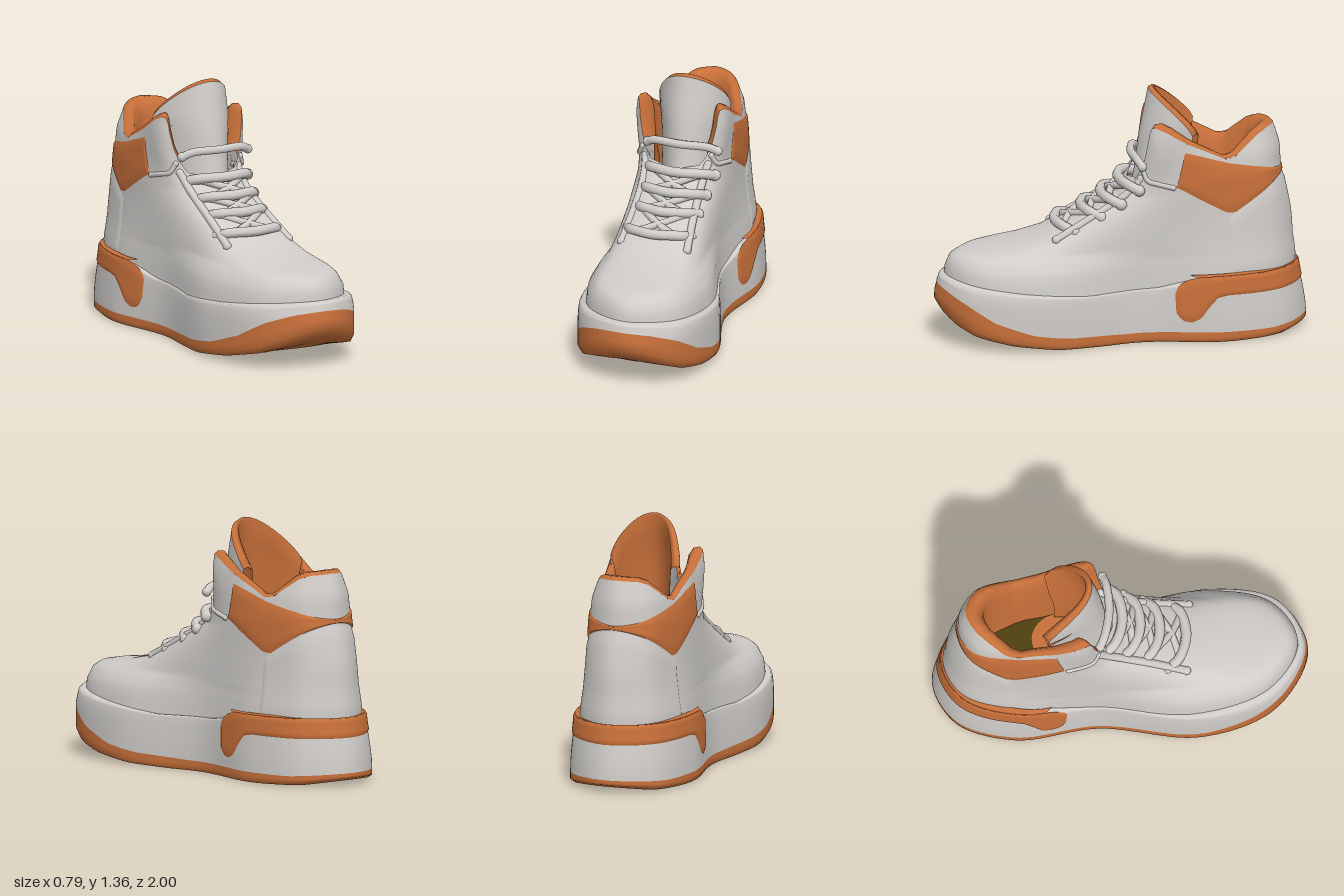
import * as THREE from 'three';

const mat = (name, color, side = THREE.DoubleSide) => {
  const m = new THREE.MeshStandardMaterial({ color, side });
  m.name = name;
  return m;
};

// Piecewise linear lookup in a list of [key, ...values] with ascending keys
function lookup(table, key) {
  let i = 0;
  while (i < table.length - 2 && key > table[i + 1][0]) i++;
  const a = table[i], b = table[i + 1];
  const f = THREE.MathUtils.clamp((key - a[0]) / (b[0] - a[0]), 0, 1);
  return a.slice(1).map((v, j) => v + (b[j + 1] - v) * f);
}
const lin = (table, key) => lookup(table, key)[0];

// Surface from a grid of points; point(i, j) gives [x, y, z], rows i, columns j
function grid(rows, cols, closed, point) {
  const pos = [], idx = [], n = closed ? cols : cols + 1;
  for (let i = 0; i <= rows; i++) for (let j = 0; j < n; j++) pos.push(...point(i, j));
  for (let i = 0; i < rows; i++) for (let j = 0; j < cols; j++) {
    const k = (j + 1) % n, a = i * n + j, b = i * n + k, c = a + n, d = b + n;
    idx.push(a, c, b, b, c, d);
  }
  const g = new THREE.BufferGeometry();
  g.setAttribute('position', new THREE.Float32BufferAttribute(pos, 3));
  g.setIndex(idx);
  g.computeVertexNormals();
  return g;
}

// Foot outline: twelve control points, from the heel (0) round +x to the toe (6)
const centre = z => lin([[-1, -0.075], [-0.55, -0.06], [-0.1, -0.036], [0.45, 0.018], [1, 0.07]], z);
function outline([zB, zH, wH, zM, wM, zFo, wFo, zF]) {
  const half = [
    [0, zB], [0.7 * wH, zB + 0.28 * (zH - zB)], [wH, zH], [wM, zM],
    [wFo, zFo], [0.72 * wFo, zF - 0.28 * (zF - zFo)], [0, zF],
  ];
  const pts = half.concat(half.slice(1, 6).reverse().map(([x, z]) => [-x, z]));
  return new THREE.CatmullRomCurve3(
    pts.map(([x, z]) => new THREE.Vector3(centre(z) + x, 0, z)), true);
}
const at = (curve, k) => curve.getPoint((((k / 12) % 1) + 1) % 1);

// Upper cross-sections: y, heel z, heel side z/w, waist z/w, forefoot z/w, toe z
const UPPER = [
  [0.26, -0.95, -0.57, 0.285, -0.10, 0.260, 0.42, 0.345, 0.95],
  [0.40, -0.935, -0.57, 0.270, -0.10, 0.255, 0.43, 0.325, 0.945],
  [0.46, -0.93, -0.57, 0.260, -0.12, 0.250, 0.44, 0.288, 0.92],
  [0.485, -0.925, -0.57, 0.257, -0.12, 0.250, 0.43, 0.265, 0.88],
  [0.50, -0.92, -0.57, 0.255, -0.13, 0.250, 0.41, 0.252, 0.80],
  [0.52, -0.92, -0.57, 0.252, -0.13, 0.250, 0.37, 0.242, 0.64],
  [0.56, -0.92, -0.57, 0.248, -0.15, 0.250, 0.29, 0.230, 0.46],
  [0.66, -0.91, -0.57, 0.240, -0.20, 0.250, 0.14, 0.210, 0.26],
  [0.78, -0.885, -0.57, 0.236, -0.25, 0.250, -0.05, 0.200, 0.04],
  [0.87, -0.865, -0.57, 0.235, -0.30, 0.252, -0.13, 0.215, -0.06],
  [1.00, -0.86, -0.57, 0.218, -0.33, 0.252, -0.17, 0.245, -0.08],
  [1.10, -0.83, -0.57, 0.180, -0.33, 0.248, -0.17, 0.250, -0.09],
  [1.22, -0.78, -0.57, 0.155, -0.33, 0.230, -0.17, 0.235, -0.10],
];
const curves = new Map();
function upperAt(k, y) {
  const key = y.toFixed(4);
  if (!curves.has(key)) curves.set(key, outline(lookup(UPPER, y)));
  return at(curves.get(key), k);
}

// Collar edge height by position round the outline
const COLLAR = [[0, 1.122], [0.8, 1.115], [1.2, 1.095], [1.6, 1.04], [1.85, 0.995], [2.1, 0.985], [2.4, 1.02],
  [3, 1.09], [3.6, 1.155], [4, 1.18], [4.25, 1.175], [4.45, 1.14], [4.6, 1.07], [4.85, 0.95], [5.15, 0.88], [6, 0.85]];
const collarY = k => lin(COLLAR, Math.min(Math.abs(k), 12 - Math.abs(k)));

// Sole outline and heights along z
const SOLE = outline([-1, -0.55, 0.335, -0.1, 0.28, 0.45, 0.375, 1]);
const BOTTOM = [[-1, 0.035], [-0.85, 0.008], [-0.6, 0], [0.1, 0], [0.35, 0.01], [0.6, 0.04],
  [0.8, 0.085], [0.9, 0.13], [1, 0.2]];
const TREAD = [[-1, 0.07], [-0.8, 0.055], [0, 0.055], [0.3, 0.07], [0.5, 0.1], [0.7, 0.17],
  [0.85, 0.26], [0.95, 0.305], [1, 0.32]];
const TOP = [[-1, 0.345], [-0.45, 0.335], [-0.2, 0.295], [0.2, 0.285], [0.6, 0.32], [1, 0.37]];
function soleAt(k, y) {
  const p = at(SOLE, k);
  const front = THREE.MathUtils.smoothstep(p.z, -0.2, 0.8);
  const lean = THREE.MathUtils.smoothstep(y, 0.06 + 0.19 * front, 0.42);
  return p.multiplyScalar(1 - (0.05 - 0.015 * front) * lean);
}

// Raised panel following a surface between two height curves
function panel(surface, k0, k1, lo, hi, lift, rows = 8, cols = 72) {
  return grid(rows, cols, false, (i, j) => {
    const k = k0 + (k1 - k0) * j / cols, v = i / rows;
    let y = 0.6, p;
    for (let n = 0; n < 3; n++) {
      p = surface(k, y);
      y = lin(lo, p.z) + (lin(hi, p.z) - lin(lo, p.z)) * v;
    }
    p = surface(k, y);
    const d = surface(k + 0.02, y).sub(surface(k - 0.02, y)).normalize();
    const edge = i === 0 || i === rows || j === 0 || j === cols;
    const off = edge ? -0.001 : lift;
    return [p.x + d.z * off, y, p.z - d.x * off];
  });
}

export function createModel() {
  const shoe = new THREE.Group();
  shoe.name = 'highTopShoe';
  const grey = mat('light grey leather', 0xcfccc9);
  const orange = mat('burnt orange', 0xc8703a);
  const olive = mat('dark olive insole', 0x4f4010);
  const add = (name, geo, material) => {
    const m = new THREE.Mesh(geo, material);
    m.name = name;
    shoe.add(m);
    return m;
  };
  const N = 144, kOf = j => j * 12 / N;

  // Outsole: rockered underside turning up into the side wall
  const spread = [0.01, 0.3, 0.6, 0.8, 0.92, 0.97];
  add('outsole', grid(8, N, true, (i, j) => {
    const p = at(SOLE, kOf(j)), b = lin(BOTTOM, p.z), t = lin(TREAD, p.z);
    if (i < 6) {
      p.multiplyScalar(spread[i]);
      return [p.x, lin(BOTTOM, p.z), p.z];
    }
    const y = b + (t - b) * [0.25, 0.6, 1][i - 6];
    const q = soleAt(kOf(j), y);
    return [q.x, y, q.z];
  }), orange);

  // Midsole wall with a rounded top ledge
  const ledge = [0.985, 0.94, 0.84];
  add('midsole', grid(8, N, true, (i, j) => {
    const k = kOf(j), p = at(SOLE, k), a = lin(TREAD, p.z), b = lin(TOP, p.z);
    const y = i < 6 ? a + (b - 0.012 - a) * i / 5 : b;
    const q = soleAt(k, y).multiplyScalar(i < 6 ? 1 : ledge[i - 6]);
    return [q.x, y, q.z];
  }), grey);

  // Heel band with a rounded drop at each end
  add('heelBand', panel(soleAt, -2.62, 2.62,
    [[-1, 0.255], [-0.56, 0.255], [-0.5, 0.245], [-0.45, 0.19], [-0.41, 0.13], [-0.36, 0.105], [-0.31, 0.115], [-0.27, 0.17]],
    [[-1, 0.365], [-0.42, 0.362], [-0.34, 0.345], [-0.29, 0.31], [-0.27, 0.28]], 0.007, 8, 110), orange);
  add('heelBandLedge', grid(1, 96, false, (i, j) => {
    const p = soleAt(-2.35 + 4.7 * j / 96, 0.36).multiplyScalar(i ? 0.92 : 1.003);
    return [p.x, i ? 0.368 : 0.36, p.z];
  }), orange);

  // Upper: toe box, quarters and ankle in one skin
  const low = [0.26, 0.34, 0.4, 0.43, 0.46, 0.473, 0.485, 0.493, 0.5, 0.51, 0.52, 0.54, 0.56, 0.61, 0.66, 0.72, 0.78];
  add('upper', grid(low.length + 9, N, true, (i, j) => {
    const k = kOf(j);
    const y = i < low.length ? low[i] : 0.78 + (collarY(k) - 0.78) * (i - low.length + 1) / 10;
    const p = upperAt(k, y);
    return [p.x, y, p.z];
  }), grey);

  // Padded collar edge and lining, narrowing towards the heel below, then the insole
  const roll = [[1, 0], [0.95, 0.018], [0.86, 0.016], [0.78, -0.02], [0.74, -0.08]];
  const inner = (k, s, depth) => {
    const p = upperAt(k, collarY(k));
    const z = -0.45 + (p.z + 0.45) * s;
    const narrow = 1 - depth * (1 - lin([[-0.72, 0.6], [-0.5, 0.85], [-0.25, 1]], z));
    return [-0.04 + (p.x + 0.04) * s * narrow, z];
  };
  add('collarLining', grid(8, 120, false, (i, j) => {
    const k = -4.9 + 9.8 * j / 120, [s, dy] = roll[Math.min(i, 4)];
    const depth = Math.max(0, i - 4) / 4;
    const [x, z] = inner(k, s, Math.sqrt(depth));
    const y = collarY(k) + dy;
    return [x, y + (0.55 - y) * depth, z];
  }), orange);
  add('insole', grid(3, N, true, (i, j) => {
    const [x, z] = inner(kOf(j), 0.75 - 0.245 * i, 1);
    return [x, 0.555, z];
  }), olive);
  const pad = add('insolePad', new THREE.CircleGeometry(1, 32).rotateX(-Math.PI / 2), orange);
  pad.scale.set(0.15, 1, 0.17);
  pad.position.set(-0.015, 0.56, -0.3);

  // Heel counter and the wrapping ankle panel
  add('heelCounter', panel(upperAt, -2.03, 2.03, [[-1, 0.33], [0, 0.33]],
    [[-0.88, 0.865], [-0.57, 0.67], [-0.5, 0.66]], 0.007, 10), grey);
  add('anklePanel', panel(upperAt, -3.05, 3.05,
    [[-0.87, 0.862], [-0.6, 0.685], [-0.55, 0.69], [-0.28, 0.845]],
    [[-0.87, 0.882], [-0.75, 0.925], [-0.57, 0.965], [-0.35, 1.035], [-0.28, 1.05]], 0.007, 8, 120), orange);

  // Tongue: curved sheet whose sides flare back into the lining
  const tonguePoint = (a, v, inset) => {
    const c = Math.cos(a);
    const top = 1.115 + 0.23 * Math.pow(Math.max(0, c), 0.8);
    const y = 0.58 + (top - 0.58) * v;
    const w = lin([[0.78, 0.15], [1, 0.166], [1.15, 0.188], [1.35, 0.18]], y) - inset + 0.02 * (1 - c) ** 2;
    const zf = lin([[0.78, -0.05], [0.9, -0.075], [1.1, -0.1], [1.35, -0.15]], y);
    return [-0.002 - 0.03 * (1 - c) ** 2 + w * Math.sin(a), y, zf - inset - 0.27 * (1 - c)];
  };
  const angle = j => Math.PI / 2 - Math.PI * j / 40;
  add('tongue', grid(12, 40, false, (i, j) => tonguePoint(angle(j), i / 12, 0)), grey);
  add('tongueLining', grid(9, 40, false, (i, j) => {
    const p = tonguePoint(angle(j), i < 2 ? 1 : 1 - (i - 2) / 7, [0, 0.018, 0.035][Math.min(i, 2)]);
    if (i === 1) p[1] += 0.012;
    return p;
  }), orange);

  // Padding that closes the gap between each tongue side and the collar
  for (const s of [-1, 1])
    add('collarFill', grid(1, 12, false, (i, j) => {
      const f = s > 0 ? j / 12 : 1 - j / 12;
      const p = tonguePoint(s * (Math.PI / 2 - 0.75 * f), 0, 0.01);
      const y = 1.06 + 0.04 * f;
      const q = tonguePoint(s * (Math.PI / 2 - 0.75 * f), (y - 0.58) / 0.535, 0.01);
      return i ? [q[0], y, q[2]] : [p[0] + s * 0.055, y + 0.01, q[2]];
    }), orange);

  // Laces
  const tube = (name, pts, r) => {
    const path = new THREE.CatmullRomCurve3(pts.map(p => new THREE.Vector3(...p)));
    add(name, new THREE.TubeGeometry(path, 28, r, 8), grey);
    for (const p of [pts[0], pts[pts.length - 1]])
      add(name + 'End', new THREE.SphereGeometry(r * 1.1, 10, 8).translate(...p), grey);
  };
  const rows = [[0.62, 0.34, 0.18], [0.695, 0.2, 0.17], [0.765, 0.095, 0.175], [0.845, 0.0, 0.19], [0.98, -0.07, 0.2]];
  rows.forEach(([y, z, w], n) => {
    const drop = n === 4 ? 0.03 : 0.085, r = n === 4 ? 0.023 : 0.028;
    tube('lace', [[-w, y - 0.015, z - drop], [-0.75 * w, y + 0.008, z - drop * 0.3], [0, y + 0.012, z + 0.012],
      [0.75 * w, y + 0.008, z - drop * 0.3], [w, y - 0.015, z - drop]], r);
    if (n < 3) {
      const [y2, z2] = rows[n + 1];
      for (const s of [-1, 1])
        tube('crossLace', [[-s * 0.12, y, z - 0.02], [0, (y + y2) / 2, (z + z2) / 2],
          [s * 0.12, y2, z2 - 0.02]], 0.02);
    }
  });

  // Eyestay edges, loose lace ends and the strap below each wing
  for (const s of [-1, 1]) {
    const ridge = [0.57, 0.62, 0.68, 0.75, 0.82, 0.88].map(y => {
      const p = upperAt(s * 4.75, y);
      return [p.x, y, p.z - 0.012];
    });
    tube('eyestayEdge', ridge, 0.022);
    tube('looseLace', [[s * 0.13, 0.61, 0.27], [s * 0.15 + 0.01, 0.56, 0.34], [s * 0.18 + 0.01, 0.51, 0.39]], 0.025);
    const strap = [4.6, 4, 3.6, 3.1].map((k, n) => {
      const y = [0.93, 0.88, 0.865, 0.845][n], p = upperAt(s * k, y);
      return [p.x, y, p.z];
    });
    tube('ankleStrap', strap, 0.014);
  }
  return shoe;
}
